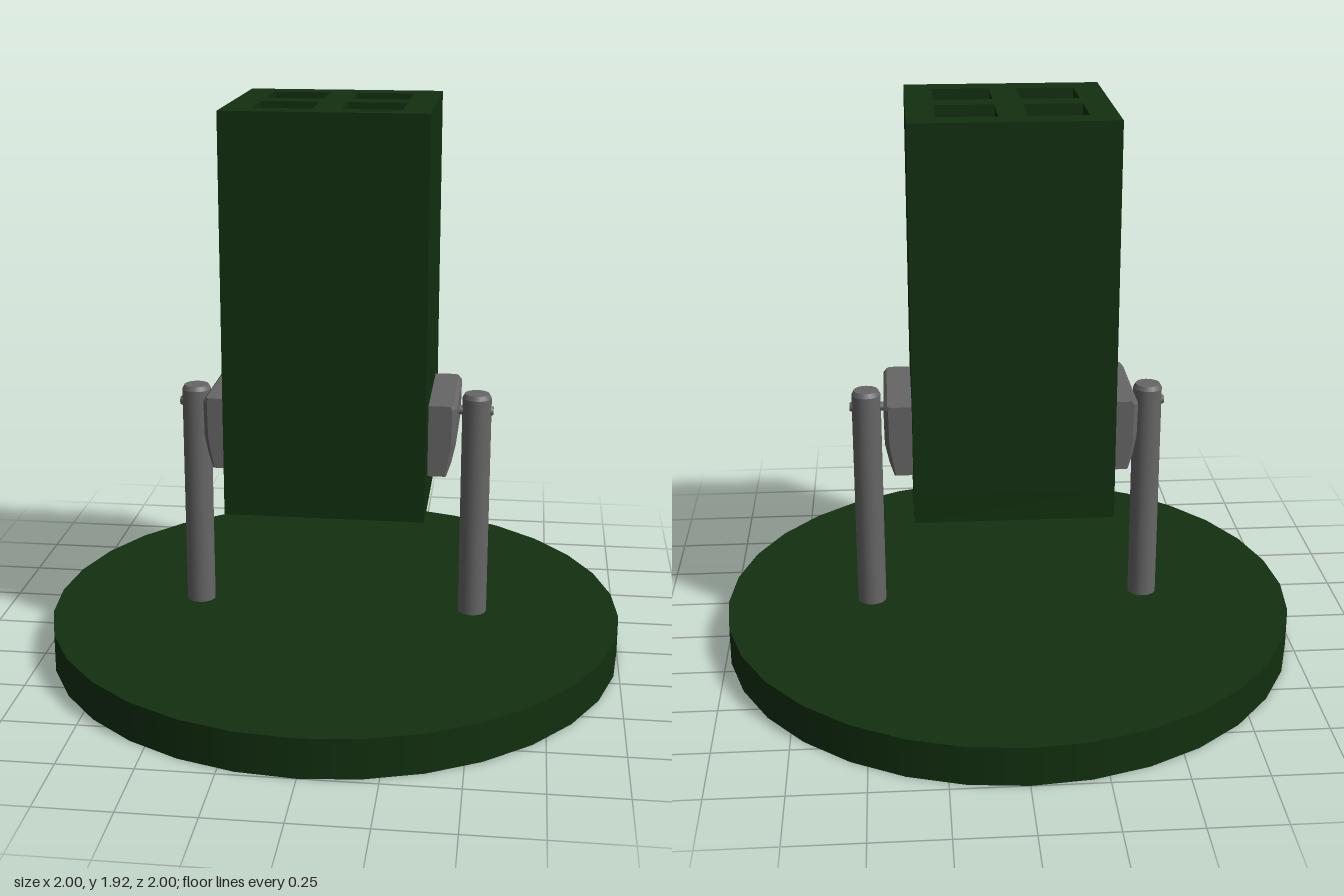
import * as THREE from 'three';

const green = new THREE.MeshStandardMaterial({ color: 0x12300f });
const grey = new THREE.MeshStandardMaterial({ color: 0x666666 });

function addMesh(parent, name, geometry, material, x = 0, y = 0, z = 0) {
  const mesh = new THREE.Mesh(geometry, material);
  mesh.name = name;
  mesh.position.set(x, y, z);
  parent.add(mesh);
  return mesh;
}

function squarePath(path, cx, cy, h) {
  path.moveTo(cx - h, cy - h);
  path.lineTo(cx + h, cy - h);
  path.lineTo(cx + h, cy + h);
  path.lineTo(cx - h, cy + h);
  path.closePath();
  return path;
}

// Side plate: six-cornered sections stacked upwards, given as [y, outer x, edge x, face half width]
function plateGeometry() {
  const rows = [
    [0.70, 0.395, 0.39, 0.197],
    [0.75, 0.412, 0.40, 0.187],
    [0.81, 0.425, 0.41, 0.182],
    [0.932, 0.427, 0.412, 0.182],
    [0.945, 0.415, 0.405, 0.188],
  ].map(([y, xo, xe, w]) => [
    [0.33, y, 0.2], [xe, y, 0.2], [xo, y, w],
    [xo, y, -w], [xe, y, -0.2], [0.33, y, -0.2],
  ]);
  const p = [];
  const tri = (a, b, c) => p.push(...a, ...b, ...c);
  for (let r = 0; r < rows.length - 1; r++) {
    for (let i = 0; i < 6; i++) {
      const j = (i + 1) % 6, lo = rows[r], hi = rows[r + 1];
      tri(lo[i], lo[j], hi[j]);
      tri(lo[i], hi[j], hi[i]);
    }
  }
  const bottom = rows[0], top = rows[rows.length - 1];
  for (let i = 1; i < 5; i++) {
    tri(top[0], top[i], top[i + 1]);
    tri(bottom[0], bottom[i + 1], bottom[i]);
  }
  const g = new THREE.BufferGeometry();
  g.setAttribute('position', new THREE.Float32BufferAttribute(p, 3));
  g.computeVertexNormals();
  return g;
}

export function createModel() {
  const model = new THREE.Group();
  model.name = 'tubeLauncher';

  // Round base
  addMesh(model, 'base', new THREE.CylinderGeometry(1, 1, 0.135, 32), green, 0, 0.0675, 0);

  // Square housing with four open tubes above a closed floor
  const housing = new THREE.Group();
  housing.name = 'housing';
  model.add(housing);
  const outline = squarePath(new THREE.Shape(), 0, 0, 0.333);
  for (const x of [-0.143, 0.143]) {
    for (const z of [-0.143, 0.143]) {
      outline.holes.push(squarePath(new THREE.Path(), x, z, 0.097));
    }
  }
  const tubes = new THREE.ExtrudeGeometry(outline, { depth: 1.235, bevelEnabled: false });
  tubes.rotateX(-Math.PI / 2);
  addMesh(housing, 'tubes', tubes, green, 0, 0.685, 0);
  addMesh(housing, 'housingFloor', new THREE.BoxGeometry(0.666, 0.1, 0.666), green, 0, 0.635, 0);

  // Supports, the second turned half round to mirror the first
  const plate = plateGeometry();
  const post = new THREE.LatheGeometry([
    [0.05, 0.13], [0.05, 0.92], [0.05, 0.92], [0.042, 0.935], [0.042, 0.935], [0, 0.935],
  ].map(([x, y]) => new THREE.Vector2(x, y)), 20);
  const pin = new THREE.CylinderGeometry(0.016, 0.016, 0.12, 12).rotateZ(Math.PI / 2);
  const cap = new THREE.CylinderGeometry(0.014, 0.022, 0.016, 12).rotateZ(-Math.PI / 2);
  for (const side of ['left', 'right']) {
    const support = new THREE.Group();
    support.name = side + 'Support';
    support.rotation.y = side === 'left' ? 0 : Math.PI;
    model.add(support);
    addMesh(support, 'sidePlate', plate, grey);
    addMesh(support, 'post', post, grey, 0.487, 0, 0);
    addMesh(support, 'pivotPin', pin, grey, 0.477, 0.875, 0);
    addMesh(support, 'pinCap', cap, grey, 0.536, 0.875, 0);
  }
  return model;
}
